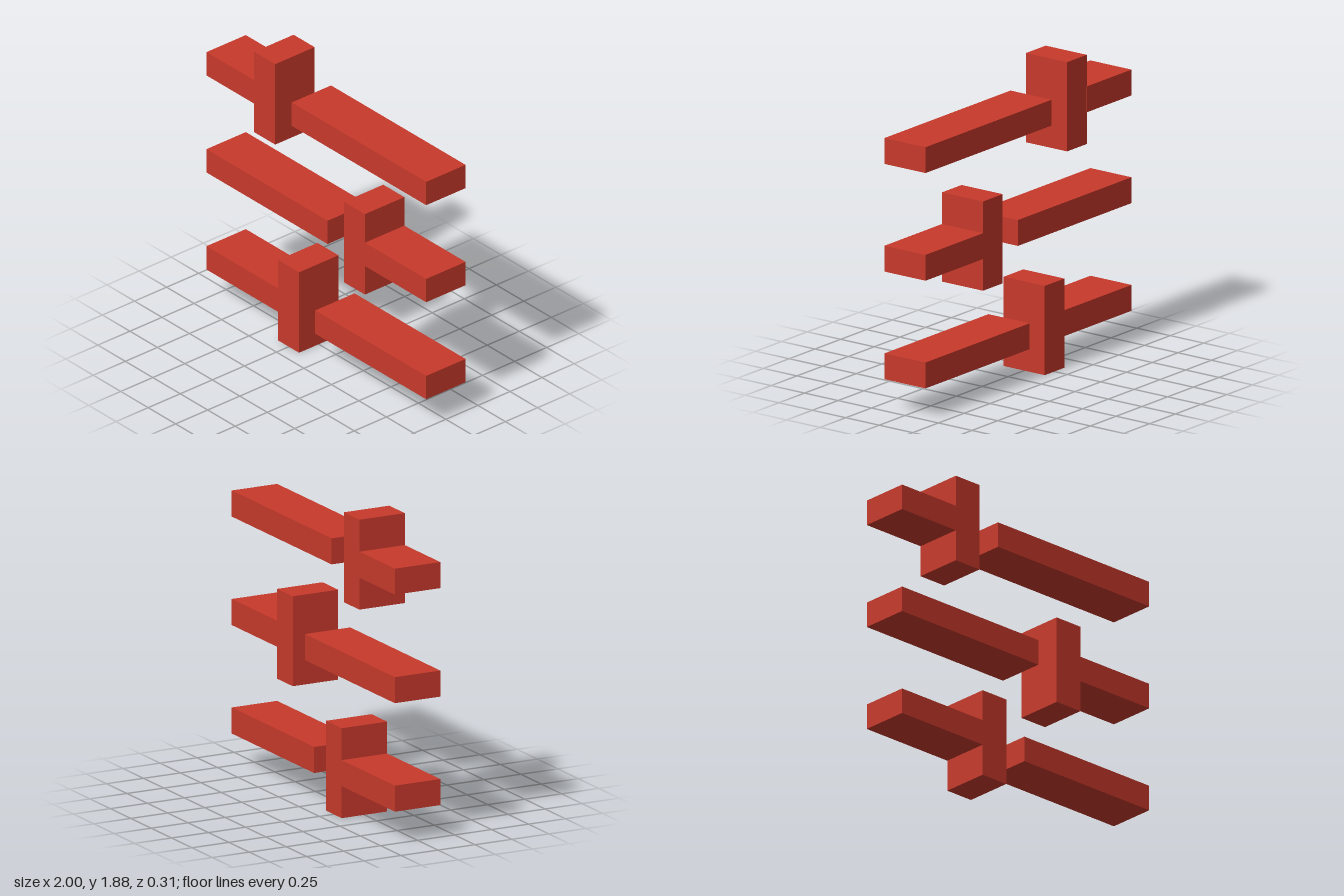
import * as THREE from 'three';

const DEPTH = 0.307, BAR_HALF = 0.08, KNOB_HALF = 0.276;

export function createModel() {
  const red = new THREE.MeshStandardMaterial({ color: 0xc8392b });
  red.name = 'red';

  // Box spanning x0..x1, centred on height y
  const block = (name, x0, x1, y, half) => {
    const mesh = new THREE.Mesh(new THREE.BoxGeometry(x1 - x0, half * 2, DEPTH), red);
    mesh.position.set((x0 + x1) / 2, y, 0);
    mesh.name = name;
    return mesh;
  };

  // Three slider rows: a bar, a gap, and a knob joined to the other bar
  const rows = [
    { name: 'topSlider', y: 1.609, knob: [-0.565, -0.374], left: -0.565, right: -0.224 },
    { name: 'middleSlider', y: 0.943, knob: [0.251, 0.442], left: 0.103, right: 0.442 },
    { name: 'bottomSlider', y: 0.277, knob: [-0.348, -0.157], left: -0.348, right: -0.01 },
  ];

  const model = new THREE.Group();
  model.name = 'sliders';
  for (const { name, y, knob, left, right } of rows) {
    const row = new THREE.Group();
    row.name = name;
    row.add(
      block('rightBar', -1, left, y, BAR_HALF),
      block('knob', knob[0], knob[1], y, KNOB_HALF),
      block('leftBar', right, 1, y, BAR_HALF),
    );
    model.add(row);
  }
  return model;
}
